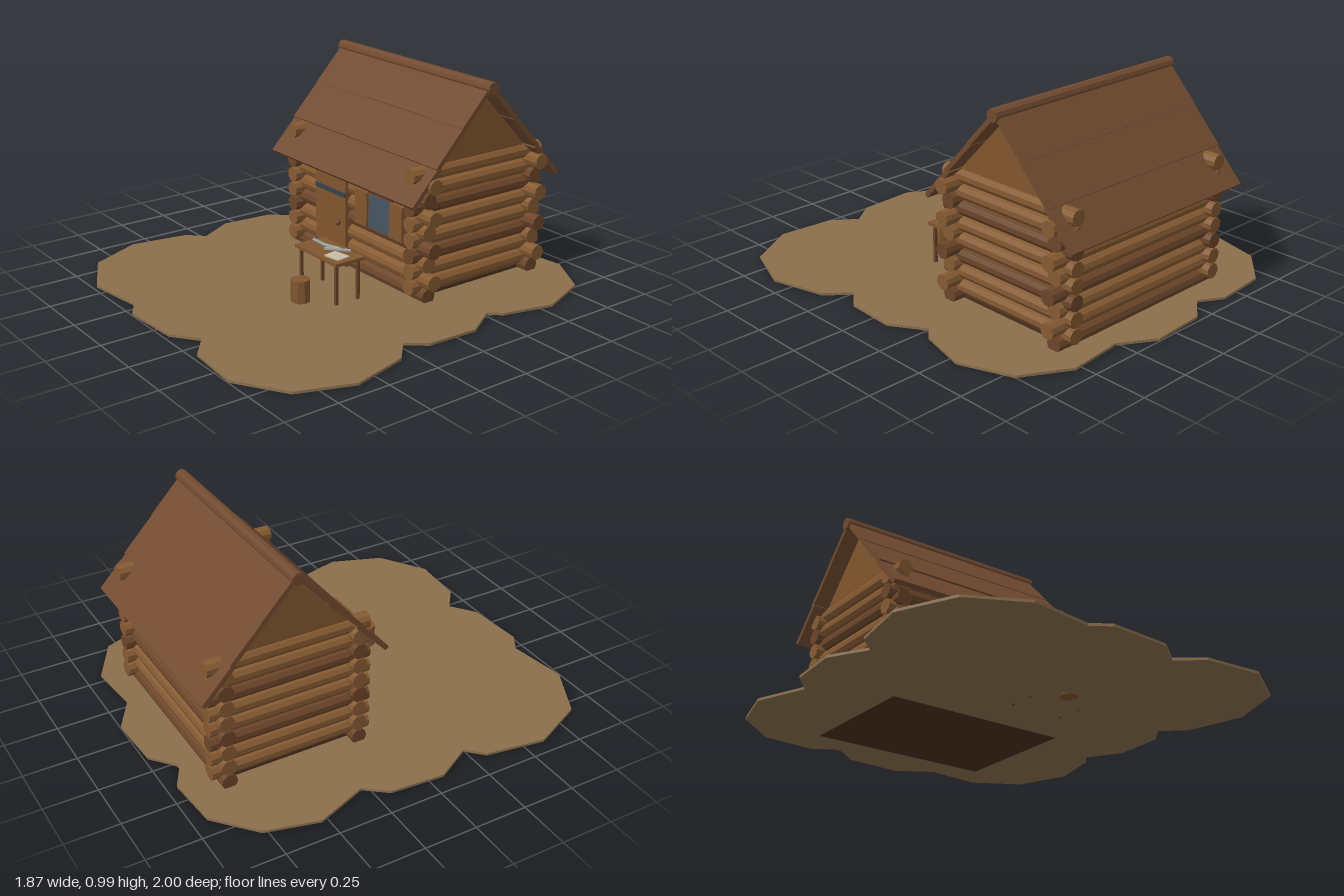
import * as THREE from 'three';

const mat = (name, color, flat = true) => {
  const m = new THREE.MeshStandardMaterial({ color });
  m.name = name;
  m.flatShading = flat;
  return m;
};

export function createModel() {
  const M = {
    earth: mat('earth', 0x8b6f4c),
    log: mat('log wood', 0x855a32),
    darkLog: mat('dark log wood', 0x6b4529),
    roof: mat('roof wood', 0x714a2f),
    plank: mat('plank wood', 0x80562f),
    floor: mat('floor wood', 0x4a301d),
    iron: mat('iron', 0x35424d),
    glass: mat('window glass', 0x465563),
    steel: mat('steel', 0x9a9a94),
    paper: mat('paper', 0xc8bda2),
  };
  const model = new THREE.Group();
  model.name = 'logCabin';

  const add = (name, geo, material, x = 0, y = 0, z = 0, parent = model) => {
    const mesh = new THREE.Mesh(geo, material);
    mesh.name = name;
    mesh.position.set(x, y, z);
    parent.add(mesh);
    return mesh;
  };
  // box given by its limits on each axis
  const box = (name, m, x0, x1, y0, y1, z0, z1, parent) =>
    add(name, new THREE.BoxGeometry(x1 - x0, y1 - y0, z1 - z0), m,
      (x0 + x1) / 2, (y0 + y1) / 2, (z0 + z1) / 2, parent);
  // faceted rod between two points
  const rod = (name, m, a, b, r, sides = 10, parent = model) => {
    const p = new THREE.Vector3(...a), q = new THREE.Vector3(...b);
    const dir = q.clone().sub(p);
    const mid = p.clone().add(q).multiplyScalar(0.5);
    const mesh = add(name, new THREE.CylinderGeometry(r, r, dir.length(), sides), m, mid.x, mid.y, mid.z, parent);
    mesh.quaternion.setFromUnitVectors(new THREE.Vector3(0, 1, 0), dir.normalize());
    return mesh;
  };

  // Ragged patch of bare earth
  const outline = [
    [-0.845, -0.775], [-0.66, -0.935], [-0.405, -0.955], [-0.3, -0.895], [-0.275, -0.895], [-0.165, -0.985],
    [0.105, -1], [0.27, -0.9], [0.535, -0.925], [0.755, -0.8], [0.85, -0.555], [0.79, -0.315],
    [0.74, -0.26], [0.84, -0.1], [0.83, 0.145], [0.76, 0.235], [0.865, 0.33], [0.935, 0.6],
    [0.84, 0.855], [0.61, 1], [0.335, 0.98], [0.22, 0.89], [0.1, 0.98], [-0.19, 1],
    [-0.275, 0.945], [-0.565, 0.985], [-0.815, 0.855], [-0.935, 0.6], [-0.89, 0.32], [-0.815, 0.245],
    [-0.915, 0.07], [-0.895, -0.185], [-0.815, -0.285], [-0.91, -0.53],
  ];
  const patch = new THREE.Shape(outline.map(([x, z]) => new THREE.Vector2(x, -z)));
  const ground = new THREE.ExtrudeGeometry(patch, { depth: 0.012, bevelEnabled: false });
  ground.rotateX(-Math.PI / 2);
  add('ground', ground, M.earth, 0, 0.002, 0);

  // Log walls, courses interlocked at the corners
  const FRONT = -0.123, BACK = -0.762, LEFT = 0.435, RIGHT = -0.468, RIDGE = -0.443, R = 0.037;
  const walls = new THREE.Group();
  walls.name = 'logWalls';
  model.add(walls);
  for (let k = 0; k < 8; k++) {
    const y = 0.04 + k * 0.075;
    const end = k % 2 ? 0.54 : 0.5;
    for (const z of [FRONT, BACK])
      rod(z === FRONT ? 'frontWallLog' : 'backWallLog', k % 3 === 0 ? M.darkLog : M.log,
        [-0.53, y, z], [end, y, z], R, 10, walls);
    for (const x of [LEFT, RIGHT])
      rod('sideWallLog', k % 3 === 2 ? M.darkLog : M.log,
        [x, y + 0.0375, -0.83], [x, y + 0.0375, -0.055], R, 10, walls);
  }
  box('floor', M.floor, RIGHT, LEFT, 0, 0.03, BACK, FRONT);

  // Gables closing the ends of the roof
  const tri = new THREE.Shape([[0.14, 0.62], [0.746, 0.62], [-RIDGE, 0.935]].map(p => new THREE.Vector2(...p)));
  for (const x of [LEFT, RIGHT]) {
    const gable = new THREE.ExtrudeGeometry(tri, { depth: 0.03, bevelEnabled: false });
    gable.rotateY(Math.PI / 2);
    add('gable', gable, M.plank, x - 0.015, 0, 0);
  }

  // Roof: overlapping boards on both slopes and a ridge log
  const roof = new THREE.Group();
  roof.name = 'roof';
  model.add(roof);
  const slope = Math.atan2(0.465, 0.44), length = 0.64;
  for (const side of [1, -1]) {
    const half = new THREE.Group();
    half.name = side > 0 ? 'frontSlope' : 'backSlope';
    half.position.set(-0.0175, 0.955, RIDGE);
    half.rotation.x = side * slope;
    roof.add(half);
    [[0, 0.225, 0.006], [0.215, 0.44, 0.003], [0.425, length, -0.005]].forEach(([a, b, lift]) =>
      add('roofBoard', new THREE.BoxGeometry(1.085, 0.022, b - a), M.roof, 0, lift, side * (a + b) / 2, half));
  }
  rod('ridgeLog', M.roof, [-0.57, 0.96, RIDGE], [0.54, 0.96, RIDGE], 0.03, 10, roof);

  // Door with iron straps and a knob
  const door = new THREE.Group();
  door.name = 'door';
  model.add(door);
  box('doorPanel', M.plank, -0.295, -0.055, 0.014, 0.455, -0.12, -0.075, door);
  for (const y of [0.375, 0.088])
    box('doorStrap', M.iron, -0.293, -0.057, y - 0.011, y + 0.011, -0.076, -0.069, door);
  add('doorKnob', new THREE.SphereGeometry(0.013, 8, 6), M.darkLog, -0.1, 0.23, -0.064, door);

  // Window with open shutters
  const win = new THREE.Group();
  win.name = 'window';
  model.add(win);
  box('windowFrame', M.darkLog, 0.105, 0.283, 0.262, 0.442, -0.12, -0.082, win);
  box('windowPane', M.glass, 0.12, 0.27, 0.272, 0.432, -0.083, -0.077, win);
  for (const [a, b] of [[0.022, 0.108], [0.275, 0.365]])
    box('shutter', M.plank, a, b, 0.268, 0.434, -0.1, -0.072, win);

  // Work table
  const table = new THREE.Group();
  table.name = 'table';
  model.add(table);
  box('tableTop', M.plank, -0.015, 0.303, 0.205, 0.22, 0.086, 0.246, table);
  for (const x of [0.008, 0.278])
    for (const z of [0.107, 0.226])
      box('tableLeg', M.darkLog, x - 0.007, x + 0.007, 0, 0.206, z - 0.007, z + 0.007, table);

  // Tools and a sheet of paper on the table
  rod('toolRod', M.steel, [0.01, 0.23, 0.158], [0.18, 0.23, 0.158], 0.008, 6);
  rod('toolRod', M.steel, [0.09, 0.232, 0.165], [0.185, 0.232, 0.135], 0.008, 6);
  rod('toolRod', M.steel, [0.15, 0.238, 0.2], [0.245, 0.238, 0.12], 0.008, 6);
  const sheet = add('paperSheet', new THREE.BoxGeometry(0.09, 0.006, 0.07), M.paper, 0.23, 0.224, 0.187);
  sheet.rotation.y = 0.15;

  // Stump seat
  add('stump', new THREE.CylinderGeometry(0.045, 0.045, 0.12, 9), M.plank, 0.143, 0.06, 0.327);

  return model;
}
